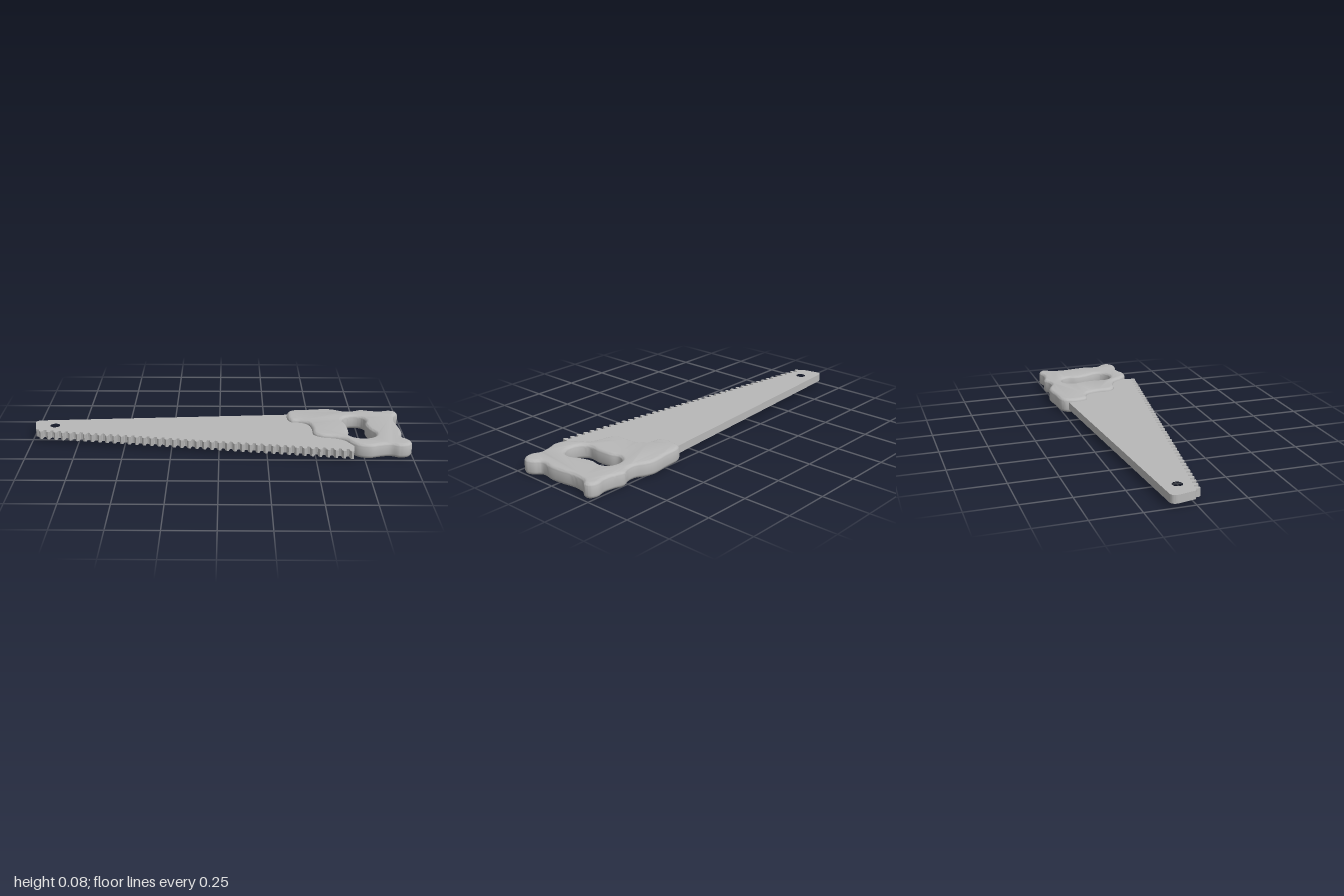
import * as THREE from 'three';
import { toCreasedNormals } from 'three/addons/utils/BufferGeometryUtils.js';

// Smooth closed outline through [x, z] points
function smoothLoop(points, samples) {
  const curve = new THREE.CatmullRomCurve3(points.map(([x, z]) => new THREE.Vector3(x, z, 0)), true, 'centripetal');
  return curve.getPoints(samples).slice(0, -1).map((p) => new THREE.Vector2(p.x, p.y));
}

// Lay an outline flat and give it thickness from y0 to y1 with rounded rims
function slab(shape, y0, y1, bevel, segments, crease) {
  const geometry = new THREE.ExtrudeGeometry(shape, {
    depth: y1 - y0 - 2 * bevel,
    bevelEnabled: bevel > 0,
    bevelThickness: bevel,
    bevelSize: bevel,
    bevelOffset: -bevel,
    bevelSegments: segments,
    curveSegments: 16,
  });
  geometry.rotateX(Math.PI / 2);
  geometry.translate(0, y1 - bevel, 0);
  return toCreasedNormals(geometry, crease);
}

function bladeShape() {
  const shape = new THREE.Shape();
  // Straight back and rounded tip
  shape.moveTo(0.62, -0.2);
  shape.lineTo(0.4, -0.22);
  shape.lineTo(-0.97, -0.122);
  shape.quadraticCurveTo(-1, -0.12, -1, -0.09);
  shape.lineTo(-0.982, 0.0);
  // Hooked teeth along the cutting edge
  const count = 42, startX = -0.975, endX = 0.695;
  const pitch = (endX - startX) / count;
  const edge = (x) => 0.03 + (x - startX) * 0.148;
  for (let i = 0; i < count; i++) {
    const x = startX + i * pitch;
    const tooth = [[0, -0.024], [0.3, -0.022], [0.36, -0.004], [0.55, 0.003], [0.82, 0], [0.9, -0.018]];
    for (const [t, dz] of tooth) shape.lineTo(x + t * pitch, edge(x + t * pitch) + dz);
  }
  // Heel tucked into the handle
  shape.lineTo(0.697, 0.21);
  shape.lineTo(0.64, 0.1);
  // Hanging hole
  const hole = new THREE.Path();
  hole.absarc(-0.887, -0.05, 0.026, 0, Math.PI * 2, true);
  shape.holes.push(hole);
  return shape;
}

function handleShape() {
  const outline = [
    [0.377, -0.227], [0.404, -0.254], [0.5, -0.265], [0.596, -0.276], [0.644, -0.263], [0.69, -0.24],
    [0.735, -0.243], [0.783, -0.263], [0.83, -0.25], [0.885, -0.243], [0.94, -0.255], [0.976, -0.24],
    [0.984, -0.21], [0.96, -0.174], [0.95, -0.104], [0.96, -0.035], [0.966, 0.04], [0.957, 0.115],
    [0.985, 0.147], [0.998, 0.184], [0.976, 0.22], [0.93, 0.229], [0.885, 0.212], [0.83, 0.222],
    [0.778, 0.238], [0.72, 0.224], [0.687, 0.19], [0.655, 0.14], [0.607, 0.115], [0.537, 0.099],
    [0.5, 0.067], [0.495, -0.013], [0.479, -0.072], [0.44, -0.099], [0.392, -0.106], [0.373, -0.142],
  ];
  const grip = [
    [0.69, -0.152], [0.735, -0.165], [0.777, -0.15], [0.794, -0.112], [0.786, -0.06], [0.8, 0.005],
    [0.826, 0.062], [0.815, 0.11], [0.767, 0.137], [0.714, 0.127], [0.682, 0.088], [0.687, 0.02],
    [0.682, -0.06], [0.668, -0.11],
  ];
  const shape = new THREE.Shape(smoothLoop(outline, 180));
  shape.holes.push(new THREE.Path(smoothLoop(grip, 80)));
  return shape;
}

export function createModel() {
  const model = new THREE.Group();
  model.name = 'handSaw';
  const grey = new THREE.MeshStandardMaterial({ color: 0xb8b8b8 });
  grey.name = 'plain grey';

  const blade = new THREE.Mesh(slab(bladeShape(), 0.021, 0.063, 0, 1, 0.6), grey);
  blade.name = 'toothedBlade';

  const handle = new THREE.Mesh(slab(handleShape(), 0.001, 0.081, 0.02, 5, 0.9), grey);
  handle.name = 'handle';

  model.add(blade, handle);
  return model;
}
